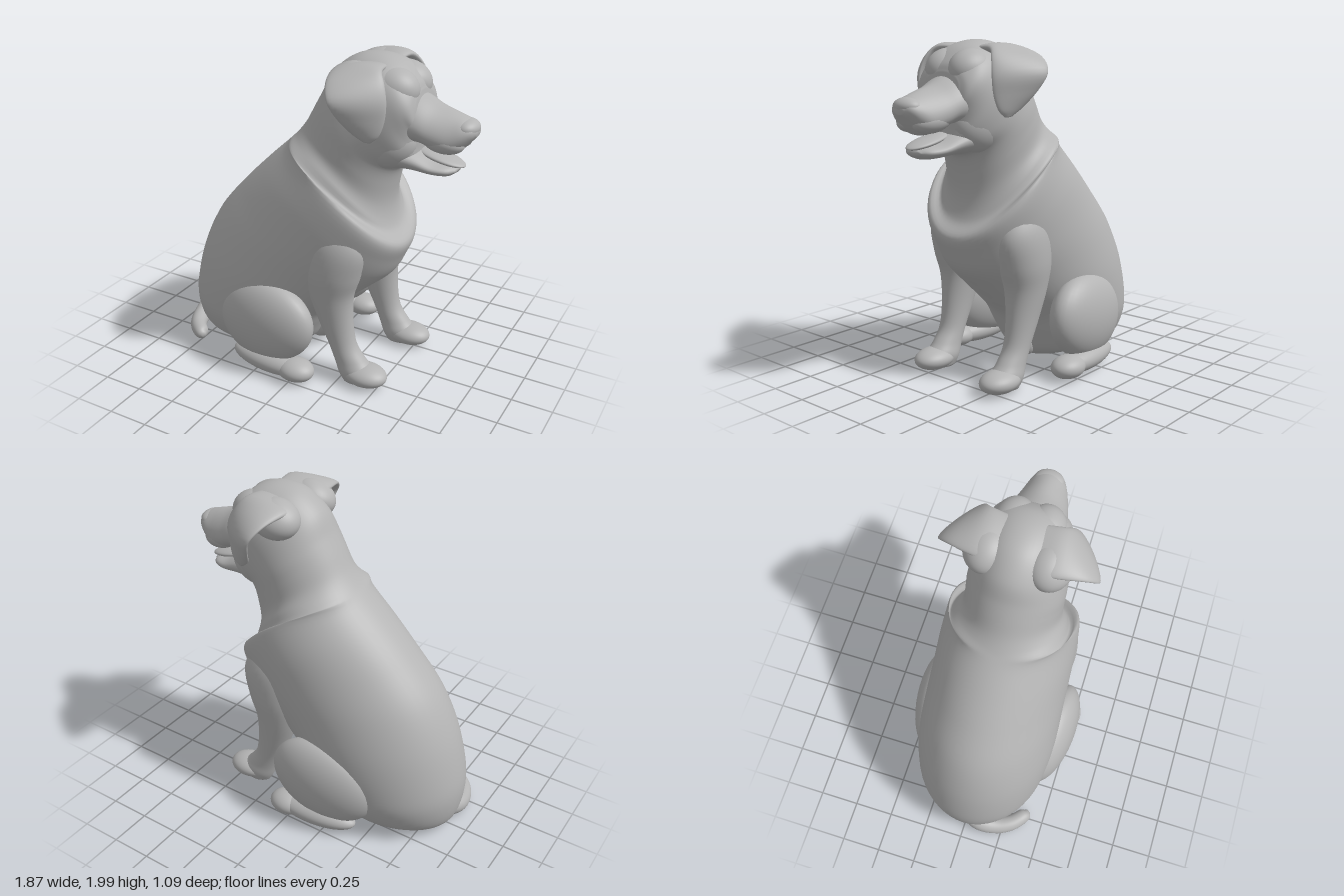
import * as THREE from 'three';

const coat = new THREE.MeshStandardMaterial({ color: 0xb4b4b4 });
coat.name = 'grey coat';

// Smooth loft through rounded rings. Each row gives two opposite ring points, the half
// width across them, how far the ring sides bow along the path, and how egg-shaped the
// ring is (wider towards its second point): [x1, y1, z1, x2, y2, z2, halfWidth, bow, egg]
function loft(name, rows, steps = 5, sides = 40) {
  const curve = f => new THREE.CatmullRomCurve3(rows.map(f), false, 'catmullrom', 0.5);
  const backs = curve(r => new THREE.Vector3(r[0], r[1], r[2]));
  const fronts = curve(r => new THREE.Vector3(r[3], r[4], r[5]));
  const sizes = curve(r => new THREE.Vector3(r[6], r[7] || 0, r[8] || 0));
  const n = (rows.length - 1) * steps;
  const centre = t => backs.getPoint(t).add(fronts.getPoint(t)).multiplyScalar(0.5);
  const pos = [], idx = [];
  for (let i = 0; i <= n; i++) {
    const t = i / n, c = centre(t);
    const along = centre(Math.min(1, t + 0.01)).sub(centre(Math.max(0, t - 0.01))).normalize();
    const half = fronts.getPoint(t).sub(c);
    const across = along.clone().cross(half).normalize();
    const size = sizes.getPoint(t);
    for (let j = 0; j < sides; j++) {
      const a = j / sides * Math.PI * 2, s = Math.sin(a), u = Math.cos(a);
      const p = c.clone().addScaledVector(half, u)
        .addScaledVector(across, size.x * s * (1 + size.z * u))
        .addScaledVector(along, size.y * s * s);
      pos.push(p.x, p.y, p.z);
      if (i < n) {
        const k = (j + 1) % sides, b = i * sides, d = b + sides;
        idx.push(b + j, b + k, d + k, b + j, d + k, d + j);
      }
    }
  }
  // end caps
  const first = pos.length / 3;
  pos.push(...centre(0).toArray(), ...centre(1).toArray());
  for (let j = 0; j < sides; j++) {
    const k = (j + 1) % sides;
    idx.push(first, k, j, first + 1, n * sides + j, n * sides + k);
  }
  const g = new THREE.BufferGeometry();
  g.setAttribute('position', new THREE.Float32BufferAttribute(pos, 3));
  g.setIndex(idx);
  g.computeVertexNormals();
  const m = new THREE.Mesh(g, coat);
  m.name = name;
  return m;
}

// Rows for parts lying upright along z = const: [x1, y1, x2, y2, halfWidth, bow, egg]
const upright = (rows, z = 0, dx = 0) =>
  rows.map(([a, b, c, d, w, bow, egg]) => [a + dx, b, z, c + dx, d, z, w, bow, egg]);

function ellipsoid(name, centre, radii, rotation = [0, 0, 0]) {
  const m = new THREE.Mesh(new THREE.SphereGeometry(1, 36, 24).scale(...radii), coat);
  m.position.set(...centre);
  m.rotation.set(...rotation);
  m.name = name;
  return m;
}

export function createModel() {
  const dog = new THREE.Group();
  dog.name = 'sittingDog';

  // rump, chest, ruff, neck and skull in one sweep
  dog.add(loft('body', upright([
    [-0.83, 0.008, -0.16, 0.008, 0.19],
    [-0.905, 0.075, -0.07, 0.07, 0.325],
    [-0.935, 0.23, 0.0, 0.2, 0.405],
    [-0.92, 0.4, 0.07, 0.32, 0.43],
    [-0.85, 0.65, 0.19, 0.43, 0.44],
    [-0.73, 0.89, 0.33, 0.55, 0.43, 0.02],
    [-0.55, 1.1, 0.45, 0.66, 0.42, 0.05],
    [-0.37, 1.28, 0.51, 0.77, 0.41, 0.08],
    [-0.23, 1.41, 0.545, 0.88, 0.385, 0.11],
    [-0.17, 1.47, 0.47, 0.97, 0.328, 0.1],
    [-0.11, 1.55, 0.44, 1.09, 0.29, 0.06],
    [-0.05, 1.66, 0.45, 1.22, 0.285, 0.03],
    [0.0, 1.75, 0.49, 1.35, 0.285],
    [0.07, 1.88, 0.58, 1.38, 0.275],
    [0.2, 1.975, 0.62, 1.43, 0.265],
    [0.35, 1.995, 0.62, 1.5, 0.246],
    [0.48, 1.96, 0.62, 1.56, 0.222],
    [0.57, 1.88, 0.63, 1.6, 0.185],
    [0.6, 1.82, 0.63, 1.66, 0.13],
  ]), 6, 56));

  // muzzle, nose, lower jaw and tongue
  dog.add(loft('muzzle', upright([
    [0.45, 1.86, 0.45, 1.47, 0.19, 0, 0.1],
    [0.6, 1.8, 0.6, 1.535, 0.178, 0, 0.18],
    [0.7, 1.755, 0.7, 1.51, 0.157, 0, 0.22],
    [0.8, 1.725, 0.79, 1.49, 0.133, 0, 0.22],
    [0.87, 1.7, 0.85, 1.525, 0.108, 0, 0.1],
    [0.91, 1.675, 0.9, 1.58, 0.075],
    [0.928, 1.645, 0.925, 1.61, 0.03],
  ])));
  dog.add(ellipsoid('nose', [0.86, 1.65, 0], [0.07, 0.05, 0.09]));
  dog.add(loft('lowerJaw', upright([
    [0.42, 1.58, 0.44, 1.36, 0.2],
    [0.6, 1.5, 0.58, 1.365, 0.16, 0, -0.1],
    [0.7, 1.45, 0.7, 1.358, 0.135, 0, -0.1],
    [0.79, 1.43, 0.78, 1.36, 0.1, 0, -0.1],
    [0.83, 1.41, 0.825, 1.385, 0.045],
  ])));
  dog.add(ellipsoid('tongue', [0.72, 1.455, 0], [0.15, 0.024, 0.08], [0, 0, -0.23]));

  // tail curled round to the left
  const tailPath = [[-0.78, 0.14, -0.02], [-0.865, 0.1, 0.08], [-0.865, 0.065, 0.2],
    [-0.82, 0.06, 0.3], [-0.745, 0.06, 0.37], [-0.71, 0.06, 0.39]];
  const tailRadii = [0.08, 0.068, 0.058, 0.052, 0.045, 0.015];
  dog.add(loft('tail', tailPath.map(([x, y, z], i) =>
    [x, y - tailRadii[i], z, x, y + tailRadii[i], z, tailRadii[i]])));
  dog.add(ellipsoid('lowerBelly', [-0.03, 0.135, -0.035], [0.14, 0.08, 0.07], [0, 0, 0.75]));

  for (const s of [1, -1]) {
    const side = s > 0 ? 'left' : 'right';
    const part = new THREE.Group();
    part.name = side + 'Side';
    const dx = s > 0 ? -0.015 : 0.02;

    // folded ear
    part.add(loft(side + 'Ear', [
      [0.15, 1.9, 0.07, 0.42, 1.95, 0.07, 0.03],
      [0.15, 1.92, 0.22, 0.44, 1.95, 0.2, 0.04],
      [0.19, 1.895, 0.37, 0.48, 1.89, 0.25, 0.035],
      [0.24, 1.82, 0.45, 0.505, 1.8, 0.275, 0.03],
      [0.28, 1.725, 0.415, 0.5, 1.7, 0.283, 0.025],
      [0.33, 1.635, 0.35, 0.475, 1.62, 0.295, 0.022],
      [0.385, 1.585, 0.317, 0.435, 1.58, 0.305, 0.01],
    ].map(([a, b, c, d, e, f, w]) => [a, b, c * s, d, e, f * s, w])));
    part.add(ellipsoid(side + 'EarBase', [0.25, 1.86, 0.18 * s], [0.15, 0.11, 0.13], [0.3 * s, 0, 0.2]));

    // brow, cheek and hanging upper lip
    part.add(ellipsoid(side + 'Brow', [0.45, 1.825, 0.085 * s], [0.155, 0.125, 0.125]));
    part.add(ellipsoid(side + 'Cheek', [0.41, 1.535, 0.1 * s], [0.2, 0.17, 0.14]));
    part.add(ellipsoid(side + 'UpperLip', [0.755, 1.57, 0.07 * s], [0.12, 0.066, 0.075], [0, 0.2 * s, -0.15]));

    // front leg with shoulder, and paw
    part.add(loft(side + 'FrontLeg', upright([
      [0.12, 1.1, 0.32, 1.08, 0.05],
      [0.03, 0.95, 0.41, 0.9, 0.125],
      [0.02, 0.75, 0.38, 0.72, 0.138],
      [0.05, 0.57, 0.335, 0.57, 0.115],
      [0.11, 0.4, 0.335, 0.4, 0.09],
      [0.18, 0.25, 0.36, 0.25, 0.076],
      [0.225, 0.14, 0.42, 0.16, 0.079],
      [0.255, 0.06, 0.47, 0.1, 0.088],
      [0.28, 0.01, 0.455, 0.015, 0.065],
    ], 0.275 * s, dx)));
    part.add(ellipsoid(side + 'FrontPaw', [0.43 + dx, 0.07, 0.28 * s], [0.14, 0.067, 0.105]));

    // haunch and hind foot
    part.add(ellipsoid(side + 'Thigh', [-0.21, 0.33, 0.398 * s], [0.345, 0.262, 0.145], [0, -0.1 * s, 0.25]));
    part.add(ellipsoid(side + 'HindFoot', [-0.17, 0.082, 0.43 * s], [0.275, 0.074, 0.1], [0, -0.08 * s, 0]));
    part.add(ellipsoid(side + 'HindToes', [0.025, 0.077, 0.45 * s], [0.12, 0.069, 0.096]));
    dog.add(part);
  }
  return dog;
}
